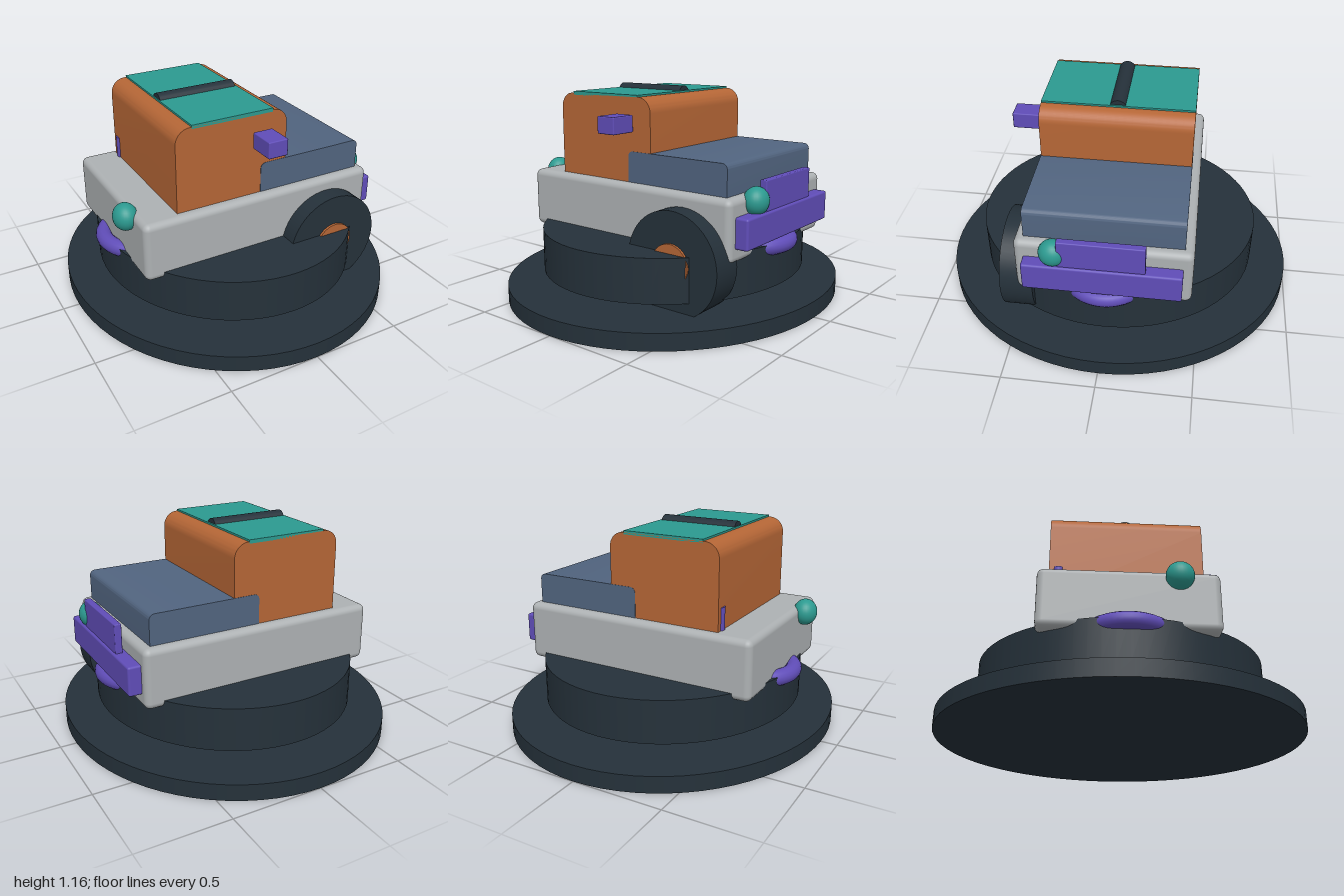
import * as THREE from 'three';
import { toCreasedNormals } from 'three/addons/utils/BufferGeometryUtils.js';
import { RoundedBoxGeometry } from 'three/addons/geometries/RoundedBoxGeometry.js';

const mat = (name, color) => {
  const m = new THREE.MeshStandardMaterial({ color });
  m.name = name;
  return m;
};

export function createModel() {
  const model = new THREE.Group();
  model.name = 'toyTruck';

  const dark = mat('dark slate', 0x25313a);
  const grey = mat('light grey', 0xadb1b3);
  const orange = mat('burnt orange', 0xb56636);
  const teal = mat('teal', 0x2c9a90);
  const blue = mat('slate blue', 0x51647f);
  const purple = mat('purple', 0x604db8);

  const add = (name, geometry, material, x = 0, y = 0, z = 0) => {
    const mesh = new THREE.Mesh(geometry, material);
    mesh.name = name;
    mesh.position.set(x, y, z);
    model.add(mesh);
    return mesh;
  };

  // Box given by its limits, with slightly rounded edges
  const block = (name, material, [x0, x1], [y0, y1], [z0, z1], r) =>
    add(name, new RoundedBoxGeometry(x1 - x0, y1 - y0, z1 - z0, 3, r), material,
      (x0 + x1) / 2, (y0 + y1) / 2, (z0 + z1) / 2);

  // Side profile with rounded upper corners, swept across the width
  const sweep = (name, material, x0, x1, y0, y1, r, halfWidth) => {
    const s = new THREE.Shape();
    s.moveTo(x0, y0);
    s.lineTo(x1, y0);
    s.lineTo(x1, y1 - r);
    s.absarc(x1 - r, y1 - r, r, 0, Math.PI / 2, false);
    s.lineTo(x0 + r, y1);
    s.absarc(x0 + r, y1 - r, r, Math.PI / 2, Math.PI, false);
    s.closePath();
    const g = new THREE.ExtrudeGeometry(s, { depth: halfWidth * 2, bevelEnabled: false, curveSegments: 8 });
    g.translate(0, 0, -halfWidth);
    return add(name, toCreasedNormals(g, 0.6), material);
  };

  // Oval base plate and the drum floating above it
  add('basePlate', new THREE.CylinderGeometry(1, 1, 0.09, 72), dark, 0, 0.045, 0).scale.x = 0.91;
  add('drum', new THREE.CylinderGeometry(0.79, 0.79, 0.235, 72), dark, 0, 0.2675, 0).scale.x = 0.91;

  // Body, cabin and hood
  block('body', grey, [-0.68, 0.68], [0.345, 0.67], [-0.46, 0.46], 0.035);
  sweep('cabin', orange, -0.48, 0.155, 0.6, 1.12, 0.08, 0.41);
  sweep('hood', blue, 0.005, 0.63, 0.6, 0.835, 0.03, 0.412);

  // Roof panel with a round rail across it
  add('roofPanel', new THREE.BoxGeometry(0.46, 0.02, 0.82), teal, -0.16, 1.12, 0);
  add('roofRail', new THREE.CylinderGeometry(0.046, 0.046, 0.445, 24), dark, -0.162, 1.11, 0)
    .rotation.z = Math.PI / 2;

  // Single wheel with its hub
  add('wheel', new THREE.CylinderGeometry(0.275, 0.275, 0.175, 48), dark, 0.4, 0.325, 0.4675)
    .rotation.x = Math.PI / 2;
  add('wheelHub', new THREE.CylinderGeometry(0.11, 0.11, 0.19, 32), orange, 0.4, 0.325, 0.473)
    .rotation.x = Math.PI / 2;

  // Lamps and half-buried tow rings at both ends
  for (const side of [-1, 1]) {
    add('lamp', new THREE.SphereGeometry(0.073, 28, 18), teal, side * 0.695, 0.635, 0.25).scale.x = 0.89;
    add('towRing', new THREE.TorusGeometry(0.2, 0.045, 16, 48), purple, side * 0.52, 0.366, 0)
      .rotation.x = Math.PI / 2;
  }

  // Bumper and grille
  block('bumper', purple, [0.67, 0.75], [0.42, 0.58], [-0.41, 0.41], 0.012);
  block('grille', purple, [0.698, 0.737], [0.56, 0.738], [-0.223, 0.223], 0.006);

  // Side mirror and exhaust stub
  block('mirror', purple, [-0.056, 0.056], [0.94, 1.03], [0.428, 0.578], 0.006);
  add('exhaust', new THREE.CylinderGeometry(0.03, 0.03, 0.16, 20), purple, -0.46, 0.71, -0.36);

  return model;
}
